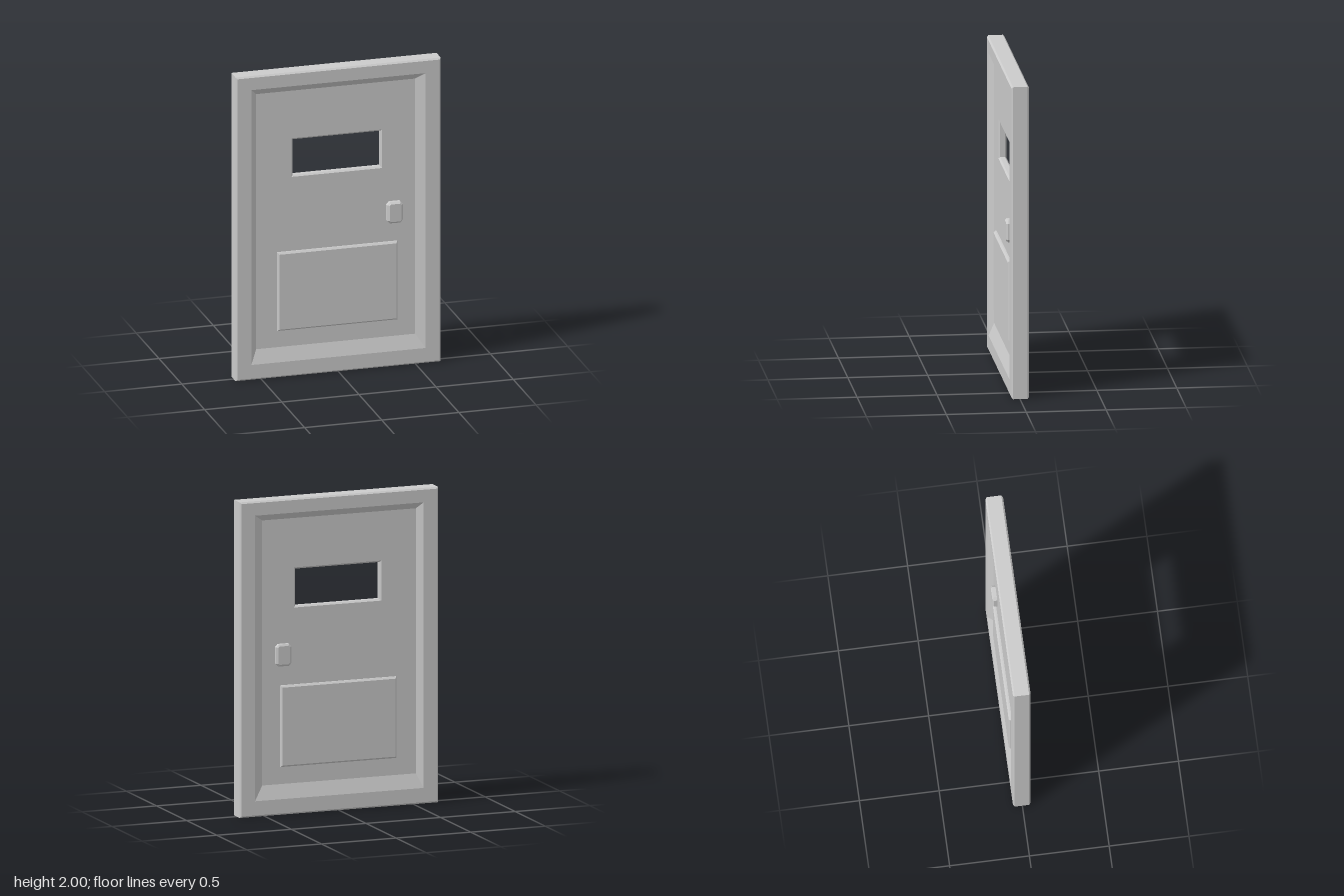
import * as THREE from 'three';

// Counter-clockwise rectangle at depth z, with optional cut corners c
function ring([x0, x1, y0, y1, z, c = 0]) {
  const flat = c
    ? [[x0 + c, y0], [x1 - c, y0], [x1, y0 + c], [x1, y1 - c],
       [x1 - c, y1], [x0 + c, y1], [x0, y1 - c], [x0, y0 + c]]
    : [[x0, y0], [x1, y0], [x1, y1], [x0, y1]];
  return flat.map(([x, y]) => [x, y, z]);
}

// Joins rings in order; either closes the loop of rings or caps both ends
function loft(name, specs, closed) {
  const rings = specs.map(ring);
  const n = rings[0].length;
  const pos = [];
  const tri = (...pts) => pts.forEach((p) => pos.push(...p));
  const spans = closed ? rings.length : rings.length - 1;
  for (let r = 0; r < spans; r++) {
    const a = rings[r], b = rings[(r + 1) % rings.length];
    for (let i = 0; i < n; i++) {
      const j = (i + 1) % n;
      tri(a[i], a[j], b[j]);
      tri(a[i], b[j], b[i]);
    }
  }
  if (!closed) {
    const first = rings[0], last = rings[rings.length - 1];
    for (let i = 1; i < n - 1; i++) {
      tri(first[0], first[i + 1], first[i]);
      tri(last[0], last[i], last[i + 1]);
    }
  }
  const geometry = new THREE.BufferGeometry();
  geometry.setAttribute('position', new THREE.Float32BufferAttribute(pos, 3));
  geometry.computeVertexNormals();
  const mesh = new THREE.Mesh(geometry,
    new THREE.MeshStandardMaterial({ color: 0xcccccc, flatShading: true }));
  mesh.name = name;
  return mesh;
}

// Mirrors front rings to the back about the slab's middle depth
const MID = -0.0025;
const mirrored = (rings) =>
  rings.map(([x0, x1, y0, y1, z, c]) => [x0, x1, y0, y1, 2 * MID - z, c]).reverse();

export function createModel() {
  const group = new THREE.Group();
  group.name = 'door';

  // Slab: bevelled outer edge, sloped recess, window opening
  const front = [
    [-0.665, 0.665, 0, 2, 0.043],
    [-0.655, 0.655, 0.01, 1.99, 0.053],
    [-0.565, 0.565, 0.1, 1.91, 0.053],
    [-0.525, 0.505, 0.19, 1.87, 0.023],
    [-0.295, 0.292, 1.302, 1.556, 0.023],
    [-0.285, 0.282, 1.312, 1.546, 0.013],
  ];
  group.add(loft('doorSlab', [...front, ...mirrored(front)], true));

  // Raised lower panel on both faces
  const panel = [
    [-0.39, 0.387, 0.3, 0.816, 0.01],
    [-0.39, 0.387, 0.3, 0.816, 0.033],
    [-0.38, 0.377, 0.31, 0.804, 0.043],
  ];
  group.add(loft('lowerPanel', [...mirrored(panel), ...panel], false));

  // Handle plate with cut corners on both faces
  const handle = [
    [0.317, 0.42, 0.94, 1.08, 0.01, 0.018],
    [0.317, 0.42, 0.94, 1.08, 0.045, 0.018],
    [0.332, 0.408, 0.952, 1.068, 0.058, 0.008],
  ];
  const back = mirrored(handle);
  back[0][4] = -0.058;
  group.add(loft('handlePlate', [...back, ...handle], false));

  return group;
}
